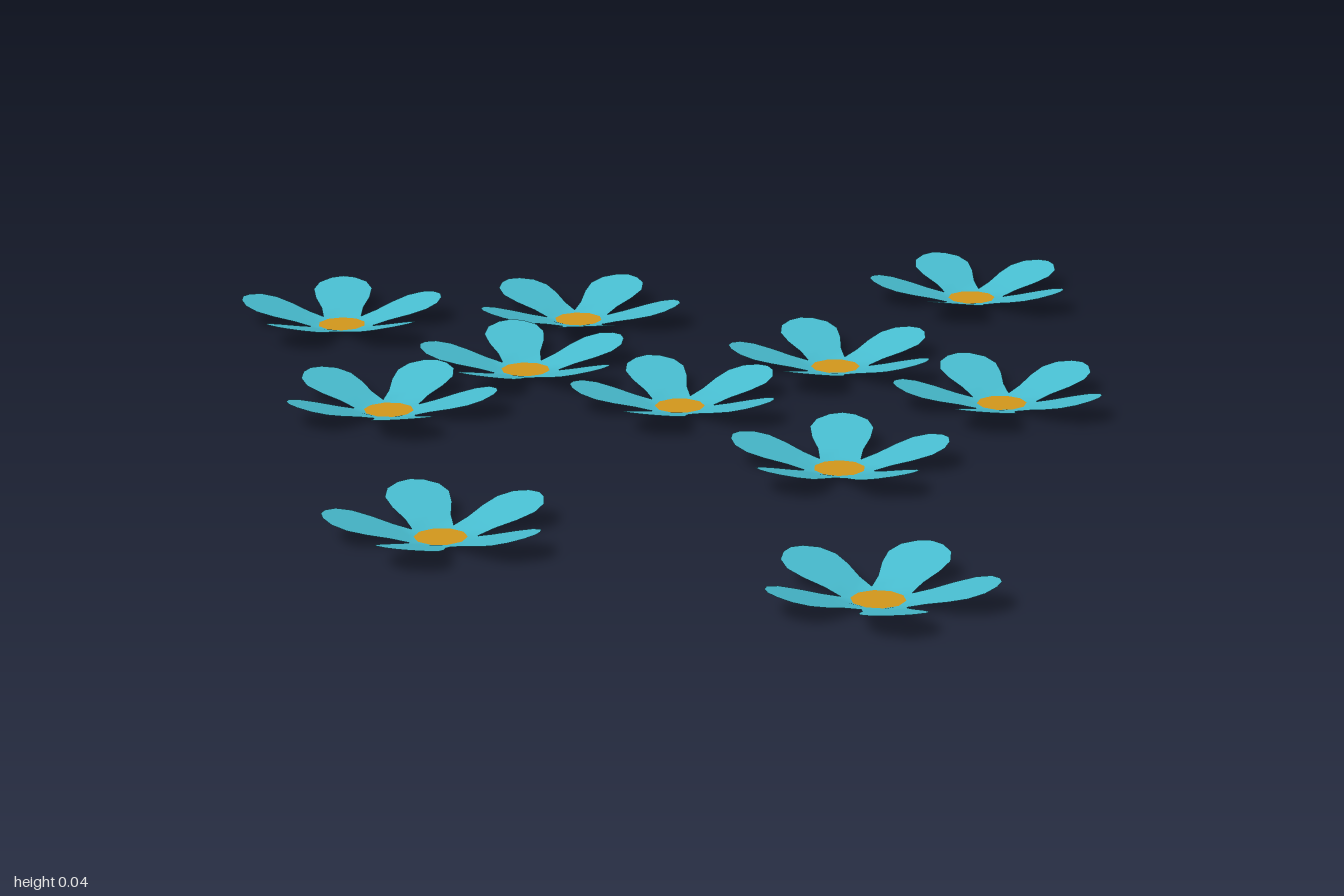
import * as THREE from 'three';
import { mergeGeometries, mergeVertices } from 'three/addons/utils/BufferGeometryUtils.js';

const HEART = 0.042; // radius of the flower centre
const RADIUS = 0.184;
const height = (r) => 0.004 + 0.038 * Math.max(0, (r - HEART) / (RADIUS - HEART));

// One petal pointing to -z, as rows of left, middle and right points
function petalGeometry() {
  const c = Math.cos(Math.PI / 5), s = Math.sin(Math.PI / 5);
  // distance of the sides, half width, distance of the middle
  const rows = [
    [HEART * c, HEART * s, HEART],
    [0.046, 0.0334, 0.052],
    [0.075, 0.037, 0.078],
    [0.11, 0.048, 0.112],
    [0.14, 0.052, 0.145],
    [0.164, 0.042, 0.168],
    [0.179, 0.021, RADIUS],
  ];
  const pos = [], index = [];
  rows.forEach(([side, w, mid], i) => {
    pos.push(-w, height(side), -side, 0, height(mid), -mid, w, height(side), -side);
    if (i === rows.length - 1) return;
    for (let k = 0; k < 2; k++) {
      const a = i * 3 + k;
      index.push(a, a + 1, a + 4, a, a + 4, a + 3);
    }
  });
  const g = new THREE.BufferGeometry();
  g.setAttribute('position', new THREE.Float32BufferAttribute(pos, 3));
  g.setIndex(index);
  return g;
}

export function createModel() {
  const petalBlue = new THREE.MeshStandardMaterial({ color: 0x48bdd0, side: THREE.DoubleSide });
  petalBlue.name = 'petalBlue';
  const heartOrange = new THREE.MeshStandardMaterial({ color: 0xd4981c, side: THREE.DoubleSide });
  heartOrange.name = 'heartOrange';

  // Five petals joined at their bases, smoothly shaded
  const ring = [];
  for (let i = 0; i < 5; i++) ring.push(petalGeometry().rotateY((i * Math.PI * 2) / 5));
  const petals = mergeVertices(mergeGeometries(ring), 1e-4);
  petals.computeVertexNormals();

  // Shallow ten-sided dish closing the middle
  const heart = new THREE.CircleGeometry(HEART, 10, Math.PI / 2).rotateX(-Math.PI / 2);
  heart.translate(0, 0.004, 0);
  heart.attributes.position.setY(0, 0);

  // x, z and clockwise turn in degrees of each flower
  const flowers = [
    [-0.09, -0.805, 11], [-0.53, -0.235, -13], [0.005, -0.305, 13], [0.355, -0.32, 10],
    [-0.825, 0.063, 28], [-0.385, 0.058, 21], [-0.043, 0.046, 13], [0.38, 0.138, 34],
    [-0.395, 0.382, -18], [0.834, 0.597, -13], [0.138, 0.81, 13],
  ];
  const model = new THREE.Group();
  model.name = 'flowerPatch';
  flowers.forEach(([x, z, turn], i) => {
    const flower = new THREE.Group();
    flower.name = `flower${i + 1}`;
    const petalMesh = new THREE.Mesh(petals, petalBlue);
    petalMesh.name = 'petals';
    const heartMesh = new THREE.Mesh(heart, heartOrange);
    heartMesh.name = 'flowerCentre';
    flower.add(petalMesh, heartMesh);
    flower.position.set(x, 0, z);
    flower.rotation.y = -THREE.MathUtils.degToRad(turn);
    model.add(flower);
  });
  return model;
}
